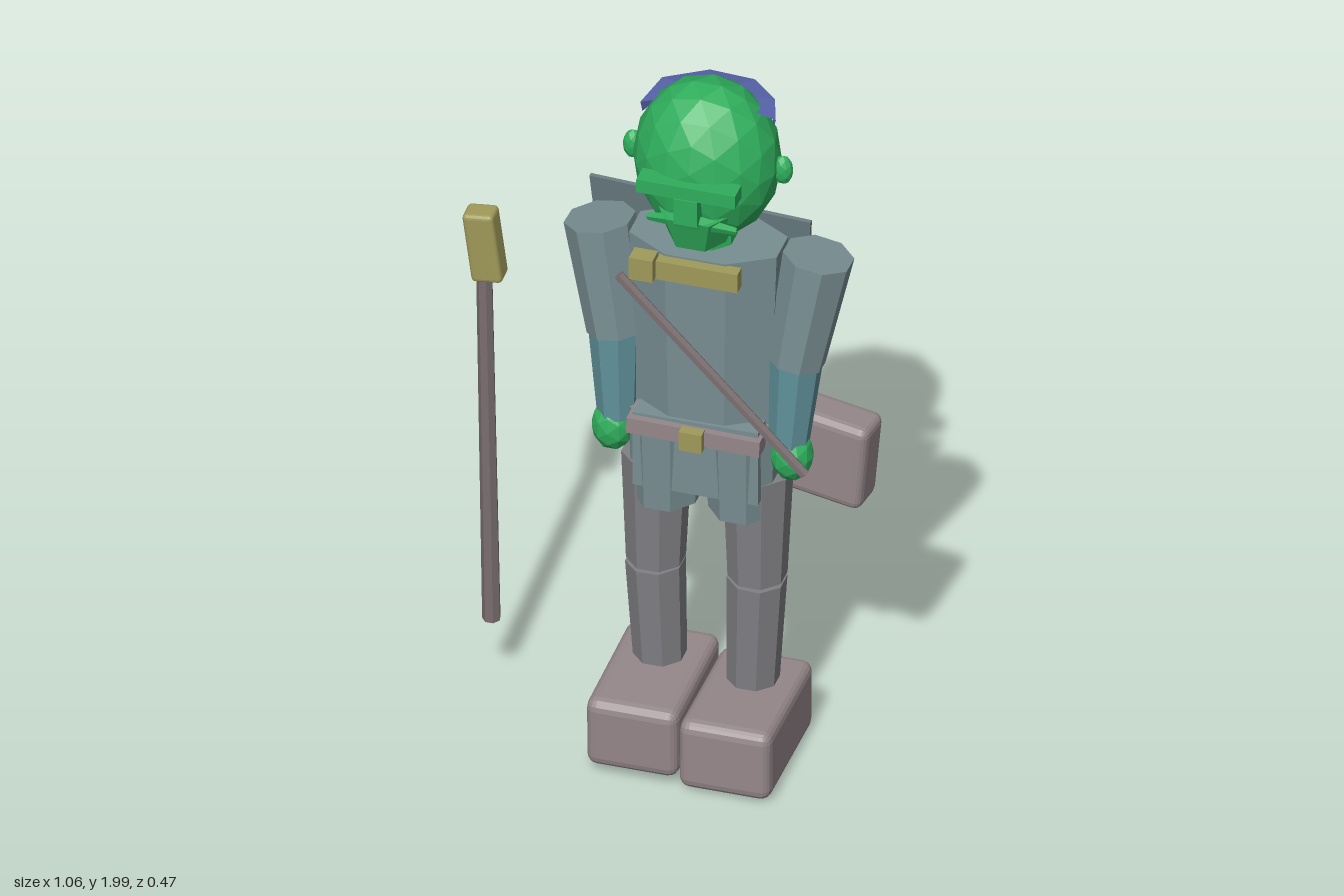
import * as THREE from 'three';
import { RoundedBoxGeometry } from 'three/addons/geometries/RoundedBoxGeometry.js';

const mat = (color, side = THREE.FrontSide) => new THREE.MeshStandardMaterial({ color, side, flatShading: true });
const SKIN = mat(0x2fae5c), CLOTH = mat(0x788e92), SLEEVE = mat(0x5f8f98), LEG = mat(0x808084);
const LEATHER = mat(0x95878a), WOOD = mat(0x7d7072), GOLD = mat(0xa09a5a);
const CAPE = mat(0x6c7f84, THREE.DoubleSide), BAND = mat(0x5a66b0, THREE.DoubleSide);
const CX = 0.105; // body axis

export function createModel() {
  const root = new THREE.Group();

  const add = (name, geo, material, pos = [0, 0, 0], rot = [0, 0, 0], scale = [1, 1, 1]) => {
    const m = new THREE.Mesh(geo, material);
    m.name = name;
    m.position.set(...pos);
    m.rotation.set(...rot);
    m.scale.set(...scale);
    root.add(m);
    return m;
  };
  const box = (name, material, size, pos, rot) => add(name, new THREE.BoxGeometry(...size), material, pos, rot);
  const softBox = (name, material, size, r, pos, rot) =>
    add(name, new RoundedBoxGeometry(...size, 2, r), material, pos, rot);
  const ball = (name, material, radii, pos, detail) =>
    add(name, new THREE.IcosahedronGeometry(1, detail), material, pos, [0, 0, 0], radii);
  // tapered prism from point a (radius ra) to point b (radius rb)
  const limb = (name, material, a, b, ra, rb, sides = 8) => {
    const A = new THREE.Vector3(...a), B = new THREE.Vector3(...b);
    const dir = A.clone().sub(B);
    const geo = new THREE.CylinderGeometry(ra, rb, dir.length(), sides);
    geo.rotateY(Math.PI / sides);
    const m = add(name, geo, material, A.add(B).multiplyScalar(0.5).toArray());
    m.quaternion.setFromUnitVectors(new THREE.Vector3(0, 1, 0), dir.normalize());
    return m;
  };
  // upright prism with an oval section
  const oval = (name, material, rTop, rBottom, h, sides, pos, depth) => {
    const geo = new THREE.CylinderGeometry(rTop, rBottom, h, sides);
    geo.rotateY(Math.PI / sides);
    return add(name, geo, material, pos, [0, 0, 0], [1, 1, depth]);
  };

  // head and face
  ball('head', SKIN, [0.19, 0.225, 0.165], [CX, 1.775, -0.022], 2);
  limb('neck', SKIN, [CX, 1.62, -0.03], [CX, 1.5, -0.03], 0.07, 0.075);
  box('brow', SKIN, [0.26, 0.038, 0.055], [CX, 1.78, 0.138]);
  box('nose', SKIN, [0.062, 0.075, 0.06], [CX, 1.725, 0.14]);
  oval('beard', SKIN, 0.115, 0.075, 0.1, 6, [CX, 1.635, 0.065], 0.9);
  add('chinBeard', new THREE.ConeGeometry(0.085, 0.08, 5), SKIN, [CX, 1.55, 0.02], [Math.PI, 0, 0]);
  for (const s of [-1, 1]) {
    ball('ear', SKIN, [0.027, 0.042, 0.022], [CX + s * 0.197, 1.77, -0.026], 1);
    limb('moustache', SKIN, [CX, 1.69, 0.148], [CX + s * 0.115, 1.655, 0.11], 0.022, 0.01, 5);
  }

  // headband round the back of the head: inner edge, upper rim, lower rim
  const arc = [[-0.065, 0.0], [-0.045, -0.12], [0.06, -0.188], [0.18, -0.18], [0.255, -0.11], [0.285, -0.02]];
  const rows = arc.map(([x, z], i) => [
    [CX + (x - CX) * 0.68, 1.935, -0.022 + (z + 0.022) * 0.68],
    [x, 1.92, z],
    [CX + (x - CX) * 0.97, 1.905 + z * 0.3 - (i % 2 ? 0 : 0.012), z * 0.97],
  ]);
  const tri = [];
  for (let i = 0; i < rows.length - 1; i++) for (let k = 0; k < 2; k++) {
    const [a, b, c, d] = [rows[i][k], rows[i + 1][k], rows[i + 1][k + 1], rows[i][k + 1]];
    tri.push(...a, ...b, ...c, ...a, ...c, ...d);
  }
  const bandGeo = new THREE.BufferGeometry();
  bandGeo.setAttribute('position', new THREE.Float32BufferAttribute(tri, 3));
  bandGeo.computeVertexNormals();
  add('headband', bandGeo, BAND);

  // torso and hips
  oval('torso', CLOTH, 0.21, 0.19, 0.54, 8, [CX, 1.26, -0.03], 0.6);
  box('hips', CLOTH, [0.33, 0.22, 0.2], [CX, 0.92, -0.015]);

  // arms, shorts, legs and boots
  for (const s of [-1, 1]) {
    const X = (d) => CX + s * d;
    limb('upperArm', CLOTH, [X(0.288), 1.522, -0.035], [X(0.237), 1.21, -0.01], 0.092, 0.075);
    limb('forearm', SLEEVE, [X(0.24), 1.24, -0.01], [X(0.225), 0.97, 0.015], 0.07, 0.052);
    ball('hand', SKIN, [0.056, 0.073, 0.055], [X(0.235), 0.94, 0.02], 1);

    oval('shortsLeg', CLOTH, 0.1, 0.09, 0.27, 8, [X(0.1), 0.88, -0.01], 1.15);

    const lx = s < 0 ? -0.03 : 0.237, ax = s < 0 ? -0.02 : 0.222;
    limb('thigh', LEG, [lx, 0.85, -0.026], [lx - 0.002, 0.525, -0.026], 0.09, 0.076);
    limb('shin', LEG, [lx - 0.002, 0.52, -0.022], [ax, 0.18, -0.028], 0.077, 0.067);
    softBox('boot', LEATHER, [0.242, 0.2, 0.39], 0.03, [s < 0 ? -0.02 : 0.224, s < 0 ? 0.133 : 0.107, 0.038],
      [s < 0 ? 0.02 : -0.02, 0, 0]);
  }

  // belt, buckle, clasp and diagonal strap
  box('belt', LEATHER, [0.35, 0.045, 0.225], [CX, 0.997, -0.008], [0, 0, -0.02]);
  box('buckle', GOLD, [0.06, 0.055, 0.03], [CX, 0.997, 0.114]);
  box('collarBar', GOLD, [0.215, 0.055, 0.035], [0.118, 1.497, 0.098]);
  box('collarClasp', GOLD, [0.062, 0.065, 0.05], [-0.024, 1.5, 0.107]);
  limb('strap', WOOD, [-0.087, 1.46, 0.112], [0.395, 0.935, 0.09], 0.014, 0.014, 6);

  // cape: lopsided sheet sweeping back toward the hem
  const outline = [[-0.245, 1.56], [-0.235, 1.34], [-0.212, 1.13], [0.16, 1.11], [0.305, 1.24], [0.32, 1.36], [0.335, 1.53]];
  const cape = new THREE.ExtrudeGeometry(new THREE.Shape(outline.map((p) => new THREE.Vector2(...p))),
    { depth: 0.013, bevelEnabled: false });
  const p = cape.attributes.position;
  for (let i = 0; i < p.count; i++) {
    const t = (1.55 - p.getY(i)) / 0.44;
    p.setZ(i, p.getZ(i) - 0.163 - 0.075 * t);
  }
  cape.computeVertexNormals();
  add('cape', cape, CAPE);

  // hip bag
  softBox('bag', LEATHER, [0.21, 0.25, 0.115], 0.025, [0.412, 0.885, -0.105], [0, -0.13, -0.09]);

  // staff standing apart at the side
  limb('staffShaft', WOOD, [-0.48, 1.32, -0.015], [-0.478, 0.215, -0.07], 0.021, 0.024, 7);
  softBox('staffHead', GOLD, [0.082, 0.205, 0.065], 0.012, [-0.478, 1.395, -0.014], [0.03, 0, 0.12]);

  return root;
}
